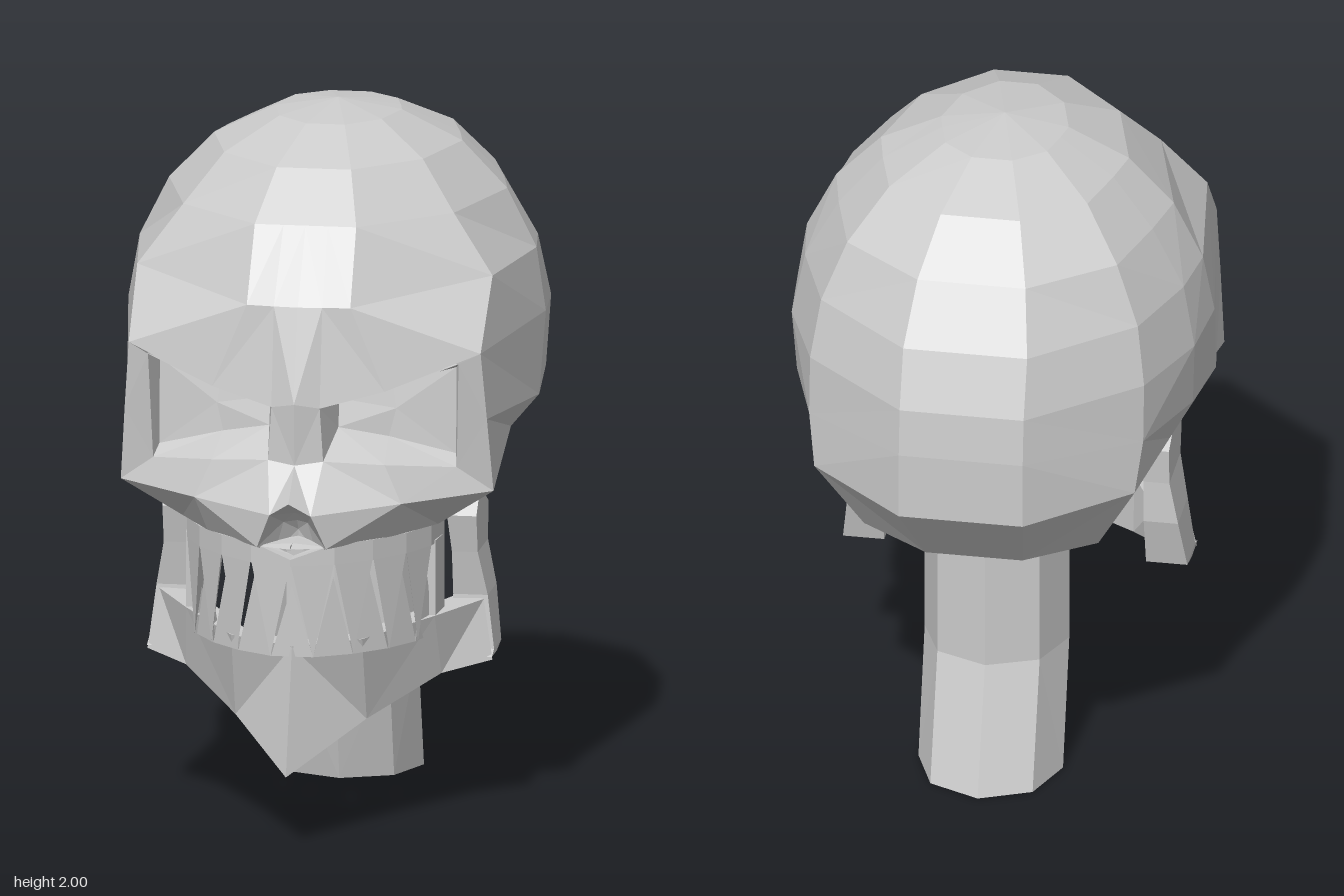
import * as THREE from 'three';
import { mergeGeometries } from 'three/addons/utils/BufferGeometryUtils.js';

const bone = new THREE.MeshStandardMaterial({ color: 0xcccccc, flatShading: true, side: THREE.DoubleSide });

// Skin of quads through rows of points, each split along its shorter diagonal;
// closed joins the last column to the first
function grid(rows, closed = false) {
  const out = [];
  const v = (p) => new THREE.Vector3(...p);
  const tri = (a, b, c) => {
    const n = v(b).sub(v(a)).cross(v(c).sub(v(a)));
    if (n.length() > 1e-7) out.push(...a, ...b, ...c);
  };
  for (let i = 0; i < rows.length - 1; i++) {
    const r = rows[i], s = rows[i + 1], n = r.length;
    for (let j = 0; j < (closed ? n : n - 1); j++) {
      const k = (j + 1) % n;
      if (v(r[j]).distanceTo(v(s[k])) <= v(r[k]).distanceTo(v(s[j]))) {
        tri(r[j], r[k], s[k]);
        tri(r[j], s[k], s[j]);
      } else {
        tri(r[j], r[k], s[j]);
        tri(r[k], s[k], s[j]);
      }
    }
  }
  const g = new THREE.BufferGeometry();
  g.setAttribute('position', new THREE.Float32BufferAttribute(out, 3));
  g.computeVertexNormals();
  return g;
}

// Closed solid: rings with both ends capped
function solid(rings) {
  const mid = (r) => {
    const c = [0, 1, 2].map((k) => r.reduce((s, p) => s + p[k], 0) / r.length);
    return r.map(() => c);
  };
  return grid([mid(rings[0]), ...rings, mid(rings[rings.length - 1])], true);
}

// Reflect across x = 0 and turn the faces round again
function mirror(g) {
  const p = g.attributes.position, out = [];
  for (let i = 0; i < p.count; i += 3)
    for (const k of [i, i + 2, i + 1]) out.push(-p.getX(k), p.getY(k), p.getZ(k));
  const m = new THREE.BufferGeometry();
  m.setAttribute('position', new THREE.Float32BufferAttribute(out, 3));
  m.computeVertexNormals();
  return m;
}

export function createModel() {
  const model = new THREE.Group();
  const add = (name, parts, both = true) => {
    const all = both ? [...parts, ...parts.map(mirror)] : parts;
    const mesh = new THREE.Mesh(mergeGeometries(all), bone);
    mesh.name = name;
    model.add(mesh);
  };

  // Shared face points on the left half
  const browOut = [0.51, 1.395, 0.505], browMid = [0.25, 1.30, 0.62], browIn = [0.07, 1.255, 0.67];
  const temple = [0.525, 1.2, 0.485], cheek = [0.54, 0.985, 0.46];
  const socketOut = [0.45, 1.368, 0.53], lidOut = [0.44, 1.06, 0.5], lidMid = [0.25, 1.085, 0.62], lidIn = [0.08, 1.1, 0.67];
  const browCentre = [0, 1.27, 0.70], bridge = [0, 1.09, 0.69], noseTip = [0, 1.0, 0.80], nostril = [0.06, 0.96, 0.772];
  const jawCorner = [0.37, 0.87, 0.3];

  // Cranium: rows from crown down, columns from the back centre to the front centre
  const ring = (y, r, back, front) => [
    [0, y, back], [0.32 * r, y, back], [0.8 * r, y, -0.1 + (back + 0.1) * 0.68], [0.93 * r, y, -0.1 + (back + 0.1) * 0.28],
    [r, y, -0.1], [0.8 * r, y, -0.1 + (front + 0.1) * 0.6], [0.3 * r, y, front], [0.13 * r, y, front], [0, y, front]];
  const widest = [[0, 1.41, -0.83], [0.18, 1.41, -0.83], [0.485, 1.41, -0.57], [0.585, 1.4, -0.3], [0.605, 1.4, -0.08]];
  const upper = [
    ring(2, 0, -0.1, -0.1), ring(1.97, 0.185, -0.32, 0.13), ring(1.885, 0.36, -0.515, 0.34), ring(1.75, 0.49, -0.665, 0.49),
    [[0, 1.58, -0.77], [0.18, 1.58, -0.77], [0.46, 1.58, -0.53], [0.55, 1.58, -0.28], [0.575, 1.58, -0.1],
      [0.515, 1.585, 0.32], [0.15, 1.54, 0.615], [0.07, 1.54, 0.625], [0, 1.54, 0.63]],
    [...widest, browOut, browMid, browIn, browCentre]];
  const lower = [
    [...widest, browOut],
    [[0, 1.27, -0.845], [0.18, 1.27, -0.845], [0.485, 1.235, -0.585], [0.575, 1.2, -0.27], [0.597, 1.17, -0.01], temple],
    [[0, 1.07, -0.845], [0.18, 1.07, -0.845], [0.465, 1.08, -0.615], [0.51, 1.08, -0.28], [0.52, 1.08, 0.02], cheek],
    [[0, 0.83, -0.62], [0.14, 0.83, -0.62], [0.34, 0.84, -0.5], [0.38, 0.86, -0.25], [0.39, 0.88, 0.04], jawCorner],
    [[0, 0.83, -0.62], [0, 0.82, -0.5], [0, 0.81, -0.35], [0, 0.8, -0.15], [0, 0.755, -0.02], [0, 0.87, 0.3]]];
  add('cranium', [grid(upper), grid(lower)]);

  // Nose bridge, cheekbones and outer eye posts
  const edgeMid = [0.3, 0.975, 0.63];
  add('cheekbones', [
    grid([[browIn, browCentre], [lidIn, bridge]]),
    grid([[lidOut, lidMid, lidIn, bridge], [cheek, edgeMid, nostril, noseTip]]),
    grid([[browOut, socketOut], [temple, lidOut], [cheek, lidOut]]),
    grid([[cheek, cheek, edgeMid, nostril], [jawCorner, [0.37, 0.87, 0.4], [0.27, 0.87, 0.58], [0.1, 0.86, 0.745]]]),
  ]);

  // Eye sockets: rim, side walls, raised floor and flat back
  add('eyeSockets', [grid([
    [browIn, browMid, socketOut, lidOut, lidMid, lidIn],
    [[0.1, 1.25, 0.5], [0.25, 1.29, 0.46], [0.43, 1.34, 0.44], [0.43, 1.09, 0.45], [0.24, 1.14, 0.48], [0.1, 1.17, 0.52]],
    Array(6).fill([0.26, 1.22, 0.47])], true)]);

  // Nasal cavity
  add('nasalCavity', [grid([
    [[0.1, 0.86, 0.745], nostril, noseTip],
    [[0.06, 0.83, 0.67], [0.035, 0.92, 0.67], [0, 0.95, 0.68]],
    [[0, 0.83, 0.62], [0, 0.89, 0.62], [0, 0.92, 0.64]]])]);

  // Dental arch shared by both rows of teeth
  const arch = new THREE.CatmullRomCurve3(
    [[0, 0.765], [0.1, 0.735], [0.27, 0.58], [0.36, 0.4], [0.37, 0.29]].map(([x, z]) => new THREE.Vector3(x, 0, z)));
  const at = (u, y, depth = 0) => {
    const p = arch.getPointAt(Math.min(1, Math.abs(u)));
    return [Math.sign(u) * p.x * (1 - depth * 2), y, p.z - depth * (1 - Math.abs(u))];
  };
  const us = [0, 0.2, 0.4, 0.6, 0.8, 1];
  const gumRing = (u, top, bottom) => [at(u, top), at(u, bottom), at(u, bottom, 0.06), at(u, top, 0.06)];
  add('upperGum', [
    solid(us.map((u) => gumRing(u, u < 0.1 ? 0.83 : 0.87, 0.81))),
    grid([us.map((u) => at(u, 0.86)), us.map((u) => [0, 0.87, at(u, 0)[2]])]), // palate
  ]);

  // Pointed wedge teeth that interlock, with a square molar at the back
  const tooth = (u0, u1, base, tip, inset) => {
    const mid = (u0 + u1) / 2;
    const ringBase = [at(u0, base, inset), at(u1, base, inset), at(mid, base, inset + 0.07)];
    return grid([ringBase, Array(3).fill(at(mid, tip, inset + 0.01))], true);
  };
  const upperTeeth = [], lowerTeeth = [];
  for (let i = 0; i < 4; i++) upperTeeth.push(tooth(i * 0.2, i * 0.2 + 0.2, 0.82, 0.54, 0));
  for (let i = 1; i < 5; i++) lowerTeeth.push(tooth(i * 0.2 - 0.1, i * 0.2 + 0.1, 0.54, 0.77, 0.02));
  upperTeeth.push(solid([gumRing(0.84, 0.82, 0.6), gumRing(1, 0.82, 0.6)]));
  add('upperTeeth', upperTeeth);
  add('lowerTeeth', lowerTeeth);
  add('lowerMiddleTooth', [tooth(-0.1, 0.1, 0.54, 0.75, 0.02)], false);

  // Mandible body: top and bottom of each section, given an inner wall
  const section = (top, bottom) => {
    const inside = ([x, y, z]) => [x * 0.84, y, z - 0.08];
    return [top, bottom, inside([bottom[0], bottom[1] + 0.03, bottom[2]]), inside(top)];
  };
  add('lowerJaw', [solid([
    section([0, 0.57, 0.735], [0, 0.21, 0.845]),
    section([0.19, 0.58, 0.65], [0.19, 0.33, 0.57]),
    section([0.36, 0.6, 0.4], [0.37, 0.42, 0.34]),
    section([0.47, 0.61, 0.2], [0.5, 0.44, 0.23]),
  ])]);

  // Rising branches of the jaw: y, x range, z range
  const branch = [
    [0.45, 0.4, 0.5, 0.15, 0.24], [0.465, 0.38, 0.5, 0.07, 0.2], [0.62, 0.38, 0.48, 0.03, 0.19], [0.75, 0.38, 0.455, 0.03, 0.215],
    [0.86, 0.37, 0.455, 0.02, 0.24], [0.9, 0.37, 0.455, 0.1, 0.2]];
  add('jawBranches', [solid(branch.map(([y, x0, x1, z0, z1]) =>
    [[x1, y, z1], [x1, y, z0], [x0, y, z0], [x0, y, z1]]))]);

  // Neck: eight-sided column that bends backwards below
  const neck = [[0.84, -0.235], [0.37, -0.235], [0, -0.34]].map(([y, z]) =>
    Array.from({ length: 8 }, (_, i) => {
      const t = (i / 8) * Math.PI * 2;
      return [0.21 * Math.cos(t), y, z + (y ? 0.202 : 0.22) * Math.sin(t)];
    }));
  add('neck', [solid(neck)], false);

  return model;
}
